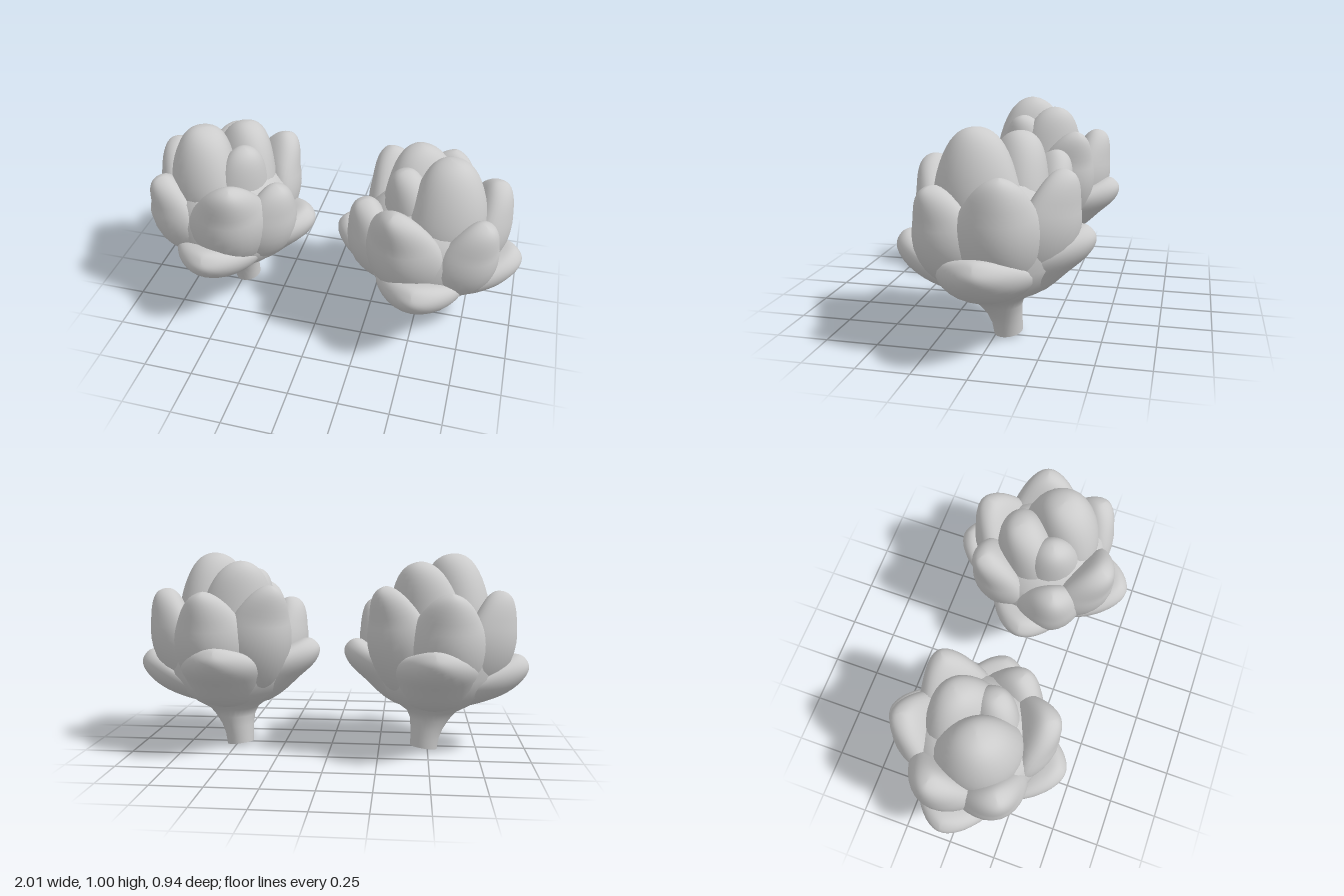
import * as THREE from 'three';

const material = new THREE.MeshStandardMaterial({ color: 0xcccccc, roughness: 0.8 });
const CENTRE_X = 0.53;

// Skin a list of closed rings; the winding is turned outward by its signed volume.
function loft(rings, mirror) {
  const n = rings[0].length, pos = [], tris = [];
  rings.flat().forEach(p => pos.push(p.x * mirror, p.y, p.z));
  for (let i = 0; i < rings.length - 1; i++) {
    for (let j = 0; j < n; j++) {
      const a = i * n + j, b = i * n + (j + 1) % n;
      tris.push([a, b, a + n], [b, b + n, a + n]);
    }
  }
  const at = i => new THREE.Vector3().fromArray(pos, i * 3);
  const volume = tris.reduce((sum, [a, b, c]) => sum + at(a).dot(at(b).cross(at(c))), 0);
  const geometry = new THREE.BufferGeometry();
  geometry.setAttribute('position', new THREE.Float32BufferAttribute(pos, 3));
  geometry.setIndex(tris.flatMap(([a, b, c]) => (volume > 0 ? [a, b, c] : [a, c, b])));
  geometry.computeVertexNormals();
  return geometry;
}

// A thick petal on a spine of [radius, height] points; wrap bends its sides around the bud.
function petal({ angle, spine, width, thick, wrap, base, tip }, mirror) {
  const curve = new THREE.SplineCurve(spine.map(p => new THREE.Vector2(...p)));
  const az = THREE.MathUtils.degToRad(angle), ca = Math.cos(az), sa = Math.sin(az);
  const rings = [], STEPS = 22, SIDES = 28;
  for (let i = 0; i <= STEPS; i++) {
    const u = Math.sin((i / STEPS) * Math.PI / 2);
    const p = curve.getPoint(u), t = curve.getTangent(u);
    const grow = base + (1 - base) * Math.sin(Math.PI / 2 * Math.min(1, u / 0.5));
    const close = Math.max(0, 1 - Math.max(0, (u - 0.5) / 0.5) ** 2);
    const w = width * grow * close ** tip, d = thick * grow * close ** 0.5;
    const ring = [];
    for (let j = 0; j < SIDES; j++) {
      const q = (j / SIDES) * Math.PI * 2;
      const side = w * Math.cos(q), out = d * Math.sin(q);
      const r = p.x + t.y * out - wrap * side * side, y = p.y - t.x * out;
      ring.push(new THREE.Vector3(CENTRE_X + r * ca - side * sa, y, r * sa + side * ca));
    }
    rings.push(ring);
  }
  return loft(rings, mirror);
}

// Leaning stem that flares into the closed heart of the bud: [x, y, z, radius]
const stemRings = [
  [0.48, 0.012, -0.055, 0], [0.48, 0.012, -0.055, 0.068], [0.48, 0.012, -0.055, 0.068],
  [0.485, 0.06, -0.05, 0.073], [0.495, 0.11, -0.04, 0.083], [0.51, 0.16, -0.025, 0.102],
  [0.52, 0.2, -0.01, 0.13], [0.53, 0.24, 0, 0.195], [0.53, 0.3, 0, 0.27],
  [0.53, 0.4, 0, 0.33], [0.53, 0.55, 0, 0.33], [0.53, 0.66, 0, 0.29], [0.53, 0.75, 0, 0.2], [0.53, 0.8, 0, 0],
];
function stem(mirror) {
  return loft(stemRings.map(([x, y, z, r], i) => Array.from({ length: 28 }, (_, j) => {
    const q = (j / 28) * Math.PI * 2, cut = i < 3 ? -0.17 * r * Math.cos(q - 0.7) : 0;
    return new THREE.Vector3(x + r * Math.cos(q), y + cut, z + r * Math.sin(q));
  })), mirror);
}

// Four low spreading petals: [angle, tip radius, tip height]
const outerPetals = [[-3, 0.46, 0.475], [91, 0.453, 0.475], [180, 0.448, 0.545], [269, 0.45, 0.545]]
  .map(([angle, r, y]) => ({
    angle, width: 0.215, thick: 0.085, wrap: 2.1, base: 0.55, tip: 0.85,
    spine: [[0.08, 0.255], [0.19, 0.31], [r * 0.68, y * 0.78], [r * 0.87, y * 0.9], [r - 0.002, y]],
  }));

// Six upright petals: [angle, tip radius, tip height, half width]
const middlePetals = [
  [-18, 0.355, 0.825, 0.2], [37, 0.375, 0.77, 0.19], [112, 0.385, 0.835, 0.215],
  [157, 0.36, 0.765, 0.185], [225, 0.39, 0.85, 0.19], [281, 0.37, 0.825, 0.205],
].map(([angle, r, y, width]) => ({
  angle, width, thick: 0.115, wrap: 1.6, base: 0.45, tip: 0.75,
  spine: [[0.07, 0.27], [0.2, 0.38], [0.285, y * 0.64], [0.312, y * 0.82], [r - 0.02, y]],
}));

// Three closed petals at the heart: [angle, tip radius, tip height, half width, half thickness]
const innerPetals = [[32, 0.09, 1, 0.22, 0.175], [233, 0.15, 0.965, 0.21, 0.15], [152, 0.15, 0.92, 0.17, 0.125]]
  .map(([angle, r, y, width, thick]) => ({
    angle, width, thick, wrap: 0.6, base: 0.3, tip: 0.65,
    spine: [[0.04, 0.32], [0.1, y * 0.55], [0.115, y * 0.76], [r, y]],
  }));

function createBud(mirror) {
  const bud = new THREE.Group();
  const add = (name, geometry) => {
    const mesh = new THREE.Mesh(geometry, material);
    mesh.name = name;
    bud.add(mesh);
  };
  add('stem', stem(mirror));
  for (const [name, list] of Object.entries({ outerPetal: outerPetals, middlePetal: middlePetals, innerPetal: innerPetals })) {
    list.forEach((spec, i) => add(name + (i + 1), petal(spec, mirror)));
  }
  return bud;
}

export function createModel() {
  const model = new THREE.Group();
  model.name = 'budPair';
  for (const [name, mirror] of [['leftBud', 1], ['rightBud', -1]]) {
    const bud = createBud(mirror);
    bud.name = name;
    model.add(bud);
  }
  return model;
}
